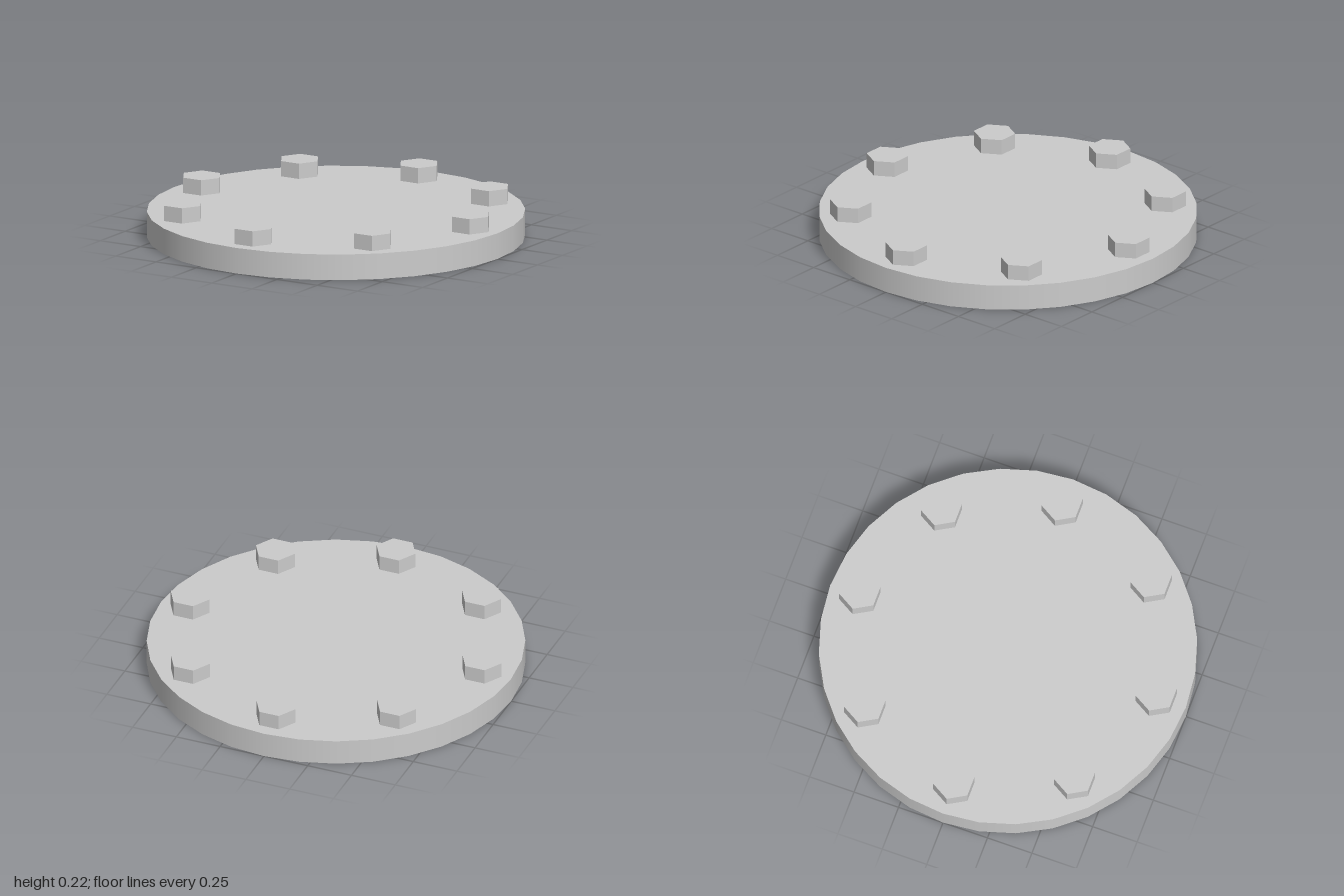
import * as THREE from 'three';

const PLATE_HEIGHT = 0.139;
const BOLT_HEIGHT = 0.083;
const BOLT_COUNT = 8;
const BOLT_CIRCLE = 0.833;

export function createModel() {
  const model = new THREE.Group();
  model.name = 'boltedCoverPlate';

  // Round plate with a smooth rim
  const plate = new THREE.Mesh(
    new THREE.CylinderGeometry(1, 1, PLATE_HEIGHT, 32),
    new THREE.MeshStandardMaterial({ color: 0xcccccc })
  );
  plate.name = 'plate';
  plate.position.y = PLATE_HEIGHT / 2;
  model.add(plate);

  // Ring of hexagonal bolt heads, all with corners pointing along x
  const boltGeometry = new THREE.CylinderGeometry(0.111, 0.111, BOLT_HEIGHT, 6);
  boltGeometry.rotateY(Math.PI / 2);
  const boltMaterial = new THREE.MeshStandardMaterial({ color: 0xcccccc, flatShading: true });
  for (let i = 0; i < BOLT_COUNT; i++) {
    const angle = (i / BOLT_COUNT) * Math.PI * 2;
    const bolt = new THREE.Mesh(boltGeometry, boltMaterial);
    bolt.name = `boltHead${i + 1}`;
    bolt.position.set(
      Math.cos(angle) * BOLT_CIRCLE,
      PLATE_HEIGHT + BOLT_HEIGHT / 2,
      Math.sin(angle) * BOLT_CIRCLE
    );
    model.add(bolt);
  }

  return model;
}
